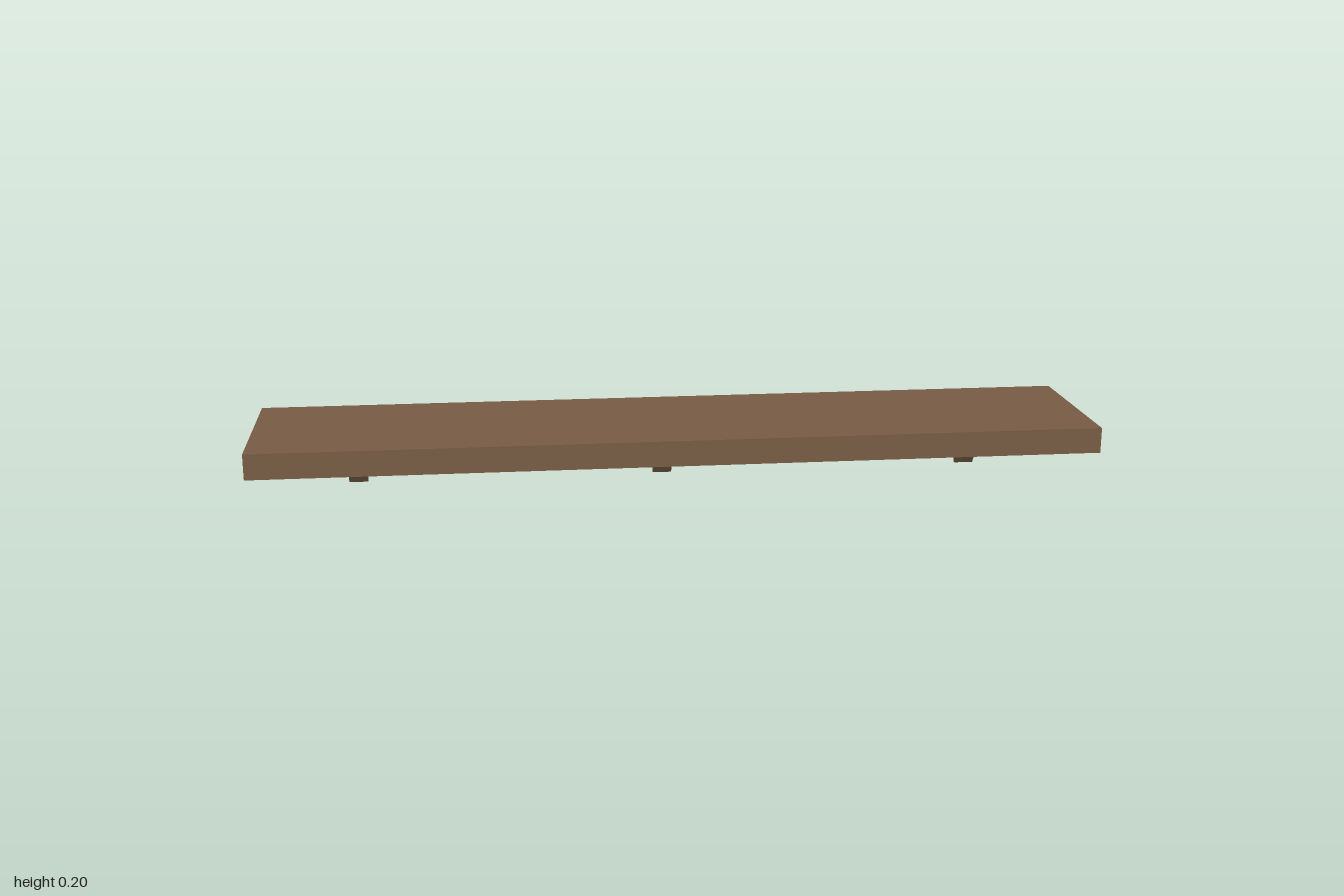
import * as THREE from 'three';

export function createModel() {
  const group = new THREE.Group();
  const wood = new THREE.MeshStandardMaterial({ color: 0x785c45 });
  wood.name = 'brown wood';

  // Shelf board
  const board = new THREE.Mesh(new THREE.BoxGeometry(2, 0.061, 0.407), wood);
  board.name = 'shelfBoard';
  board.position.set(0, 0.1655, 0);
  group.add(board);

  // Bracket profile as (z, y), extruded along x
  const profile = [
    [-0.203, 0], [-0.193, 0], [-0.15, 0.065], [-0.078, 0.105],
    [0.048, 0.129], [0.048, 0.135], [-0.203, 0.135],
  ].map(([z, y]) => new THREE.Vector2(z, y));
  const width = 0.047;
  const bracketGeometry = new THREE.ExtrudeGeometry(new THREE.Shape(profile), {
    depth: width, bevelEnabled: false,
  });
  bracketGeometry.translate(0, 0, -width / 2);
  bracketGeometry.rotateY(-Math.PI / 2);

  // Three supporting brackets, flush with the back edge
  const places = { rightBracket: -0.773, middleBracket: -0.008, leftBracket: 0.781 };
  for (const [name, x] of Object.entries(places)) {
    const bracket = new THREE.Mesh(bracketGeometry, wood);
    bracket.name = name;
    bracket.position.x = x;
    group.add(bracket);
  }
  return group;
}
